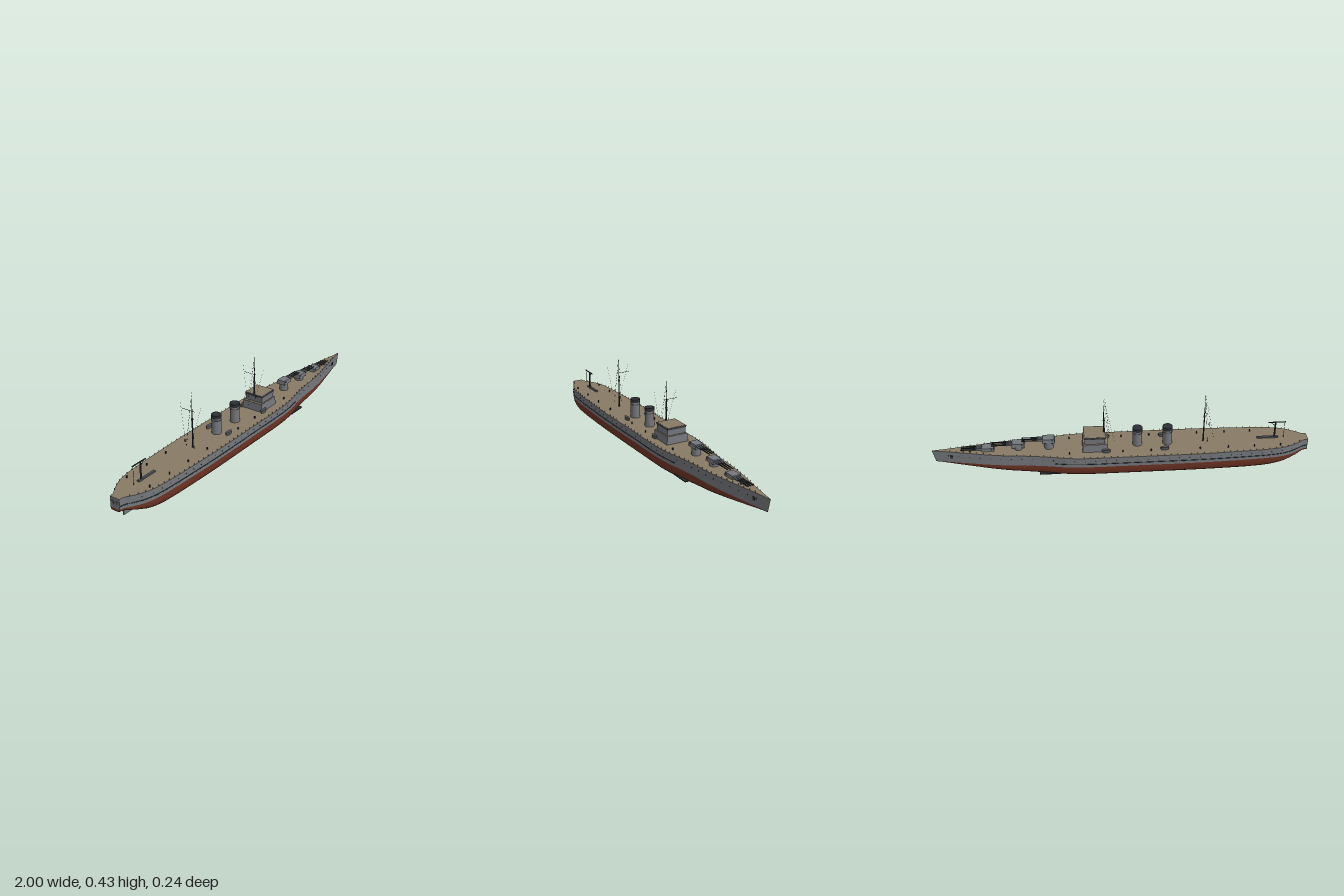
import * as THREE from 'three';
import { mergeGeometries } from 'three/addons/utils/BufferGeometryUtils.js';

const mat = (name, color) => Object.assign(new THREE.MeshStandardMaterial({ color }), { name });
const grey = mat('hull grey', 0x74777c);
const red = mat('antifouling red', 0x733626);
const tan = mat('deck tan', 0x887b66);
const dark = mat('dark metal', 0x2c2f33);
const steel = mat('mid steel', 0x55595e);

// Hull stations: x, half beam, keel height
const stations = [
  [-1, .028, .06], [-.975, .032, .057], [-.95, .048, .05], [-.9, .075, .035], [-.85, .092, .02],
  [-.78, .102, .009], [-.68, .108, .004], [-.55, .113, .003], [-.4, .117, .003], [0, .117, .003],
  [.2, .116, .004], [.3, .108, .007], [.4, .09, .011], [.5, .077, .018], [.6, .069, .027],
  [.7, .055, .038], [.8, .036, .05], [.9, .017, .062], [1, .001, .072],
];
const samples = new THREE.CatmullRomCurve3(stations.map(s => new THREE.Vector3(...s))).getPoints(108);
const WATER = .073;
const deckY = x => .13 + .01 * Math.max(0, (x - .2) / .8);
function beam(x) {
  const i = Math.max(1, samples.findIndex(p => p.x >= x));
  const a = samples[i - 1], b = samples[i];
  return THREE.MathUtils.lerp(a.y, b.y, (x - a.x) / (b.x - a.x));
}

// Skin a list of cross-sections, each a list of [x, y, z]
function loft(rows) {
  const n = rows[0].length, index = [];
  for (let i = 0; i < rows.length - 1; i++) for (let j = 0; j < n - 1; j++) {
    const a = i * n + j, b = a + n;
    index.push(a, a + 1, b, a + 1, b + 1, b);
  }
  const g = new THREE.BufferGeometry();
  g.setAttribute('position', new THREE.Float32BufferAttribute(rows.flat(2), 3));
  g.setIndex(index);
  g.computeVertexNormals();
  return g;
}

function add(parent, name, geometry, material, x = 0, y = 0, z = 0) {
  const m = new THREE.Mesh(geometry, material);
  m.name = name;
  m.position.set(x, y, z);
  parent.add(m);
  return m;
}
const box = (w, h, d, x = 0, y = 0, z = 0) => new THREE.BoxGeometry(w, h, d).translate(x, y, z);
const cyl = (r1, r2, h, x = 0, y = 0, z = 0, n = 20) => new THREE.CylinderGeometry(r1, r2, h, n).translate(x, y, z);
function rod(a, b, r, n = 5) {
  return new THREE.TubeGeometry(new THREE.LineCurve3(new THREE.Vector3(...a), new THREE.Vector3(...b)), 1, r, n);
}
// Block whose top is scaled in x and z
function taperBox(w, h, d, sx, sz) {
  const g = new THREE.BoxGeometry(w, h, d), p = g.attributes.position;
  for (let i = 0; i < p.count; i++) if (p.getY(i) > 0) p.setXYZ(i, p.getX(i) * sx, p.getY(i), p.getZ(i) * sz);
  g.computeVertexNormals();
  return g;
}

function buildHull(ship) {
  const rake = x => x - .015 * THREE.MathUtils.smoothstep(x, .85, 1);
  const half = [[1, 1], [.985, .75], [.95, .48], [.89, .25], [.78, .09], [.58, .01], [.3, 0]];
  const profile = [...half, [0, 0], ...half.map(([z, y]) => [-z, y]).reverse()];
  add(ship, 'lower hull', loft(samples.map(p =>
    profile.map(([z, f]) => [rake(p.x), p.z + (WATER - p.z) * f, p.y * z]))), red);
  for (const s of [1, -1]) {
    add(ship, s > 0 ? 'front topside' : 'back topside', loft(samples.map(p => {
      const r = [[p.x, deckY(p.x), s * p.y], [rake(p.x), WATER, s * p.y]];
      return s > 0 ? r : r.reverse();
    })), grey);
  }
  add(ship, 'deck', loft(samples.map(p => [[p.x, deckY(p.x), -p.y], [p.x, deckY(p.x), p.y]])), tan);
  // Flat stern
  add(ship, 'transom', new THREE.PlaneGeometry(.056, .13 - WATER).rotateY(-Math.PI / 2), grey, -1, (.13 + WATER) / 2);
  const low = new THREE.Shape(profile.map(([z, f]) => new THREE.Vector2(z * .028, .06 + (WATER - .06) * f)));
  add(ship, 'lower transom', new THREE.ShapeGeometry(low).rotateY(-Math.PI / 2), red, -1);
  add(ship, 'transom hatches', mergeGeometries([-1, 1].map(s => box(.003, .018, .014, -1, .105, s * .013))), steel);
  add(ship, 'rudder', box(.07, .032, .008), grey, -.915, .028);

  const strakes = [], ports = [], posts = [], fins = [], anchors = [];
  for (const s of [1, -1]) {
    // Rubbing strake follows the side
    const path = [];
    for (let x = -.995; x < .38; x += .03) path.push(new THREE.Vector3(x, .092, s * beam(x)));
    strakes.push(new THREE.TubeGeometry(new THREE.CatmullRomCurve3(path), 90, .002, 5));
    for (let x = -.9; x < .95; x += .055) {
      const y = x > .4 ? .112 : .11;
      ports.push(new THREE.CylinderGeometry(.0025, .0025, .003, 8).rotateX(Math.PI / 2).translate(x, y, s * beam(x)));
    }
    // Rail stanchions
    for (let x = -.95; x < .93; x += .035)
      posts.push(box(.0018, .008, .0018, x, deckY(x) + .004, s * (beam(x) - .002)));
    fins.push(box(.11, .005, .022, .385, .024, s * .083));
    anchors.push(box(.014, .016, .006, .9, .108, s * beam(.9)));
  }
  add(ship, 'side strakes', mergeGeometries(strakes), dark);
  add(ship, 'portholes', mergeGeometries(ports), dark);
  add(ship, 'rail stanchions', mergeGeometries(posts), steel);
  add(ship, 'bow fins', mergeGeometries(fins), dark);
  add(ship, 'anchors', mergeGeometries(anchors), dark);
}

function buildTurret(ship, x, base, top) {
  const t = new THREE.Group();
  t.name = 'gun turret';
  t.position.x = x;
  ship.add(t);
  if (top - .023 > base) add(t, 'barbette', cyl(.024, .024, top - .02 - base, 0, (top - .02 + base) / 2), grey);
  add(t, 'gun house', taperBox(.068, .022, .052, .9, .9), grey, 0, top - .011);
  add(t, 'range finder', box(.008, .005, .056), steel, -.02, top - .007);
  for (const z of [-.014, 0, .014]) {
    add(t, 'gun sleeve', cyl(.0055, .006, .035, 0, 0, 0, 10).rotateZ(-Math.PI / 2), steel, .045, top - .009, z);
    add(t, 'gun barrel', cyl(.003, .004, .1, 0, 0, 0, 10).rotateZ(-Math.PI / 2), dark, .09, top - .009, z);
  }
}

function buildBridge(ship) {
  const b = new THREE.Group();
  b.name = 'bridge';
  b.position.x = .143;
  ship.add(b);
  add(b, 'lower house', taperBox(.136, .042, .124, .96, .95), grey, 0, .151);
  add(b, 'lower house roof', box(.128, .003, .116), tan, 0, .1725);
  add(b, 'upper house', taperBox(.106, .04, .104, 1.04, 1.03), grey, .003, .192);
  add(b, 'window band', box(.112, .006, .109), dark, .003, .208);
  add(b, 'roof rim', box(.115, .004, .112), steel, .003, .2125);
  add(b, 'roof', box(.107, .002, .104), tan, .003, .2145);
}

function buildMast(ship, x, foot) {
  const m = new THREE.Group();
  m.name = 'mast';
  m.position.x = x;
  ship.add(m);
  add(m, 'lower pole', cyl(.0025, .004, .34 - foot, 0, (.34 + foot) / 2, 0, 8), dark);
  add(m, 'topmast', cyl(.0007, .0018, .09, 0, .385, 0, 6), dark);
  add(m, 'lookout', cyl(.006, .005, .008, 0, .285, 0, 10), steel);
  add(m, 'yard', rod([0, .33, -.065], [0, .33, .015], .0011), dark);
  const stays = [];
  for (const s of [-1, 1]) {
    stays.push(rod([0, .42, 0], [-.02, foot, s * .025], .0004, 3));
    stays.push(rod([-.01, .375, s * .065], [-.03, .2, s * .025], .0004, 3));
  }
  stays.push(rod([0, .42, 0], [-.055, .15, 0], .0004, 3));
  add(m, 'stays', mergeGeometries(stays), dark);
}

export function createModel() {
  const ship = new THREE.Group();
  ship.name = 'warship';
  buildHull(ship);
  buildBridge(ship);
  [[.388, .13, .195], [.548, .133, .174], [.708, .135, .154]].forEach(t => buildTurret(ship, ...t));

  // Funnels with black caps
  for (const x of [-.242, -.082]) {
    add(ship, 'funnel', cyl(.025, .026, .09, x, .173), grey);
    add(ship, 'funnel cap', cyl(.0265, .0265, .018, x, .226), dark);
    add(ship, 'funnel band', cyl(.027, .027, .004, x, .205), steel);
  }
  buildMast(ship, -.435, .13);
  buildMast(ship, .095, .2);

  // Small deck tubs abreast the bridge and aft funnel
  for (const [x, z] of [[.087, .066], [-.222, .062]]) for (const s of [-1, 1]) {
    const tub = add(ship, 'deck tub', cyl(1, .9, 1, 0, 0, 0, 16), steel, x, .138, s * z);
    tub.scale.set(.023, .016, .009);
  }
  // Bollards and vents
  const bits = [];
  for (const x of [-.84, -.7, -.56, -.41, -.15, 0, .28]) for (const s of [-1, 1])
    bits.push(cyl(.003, .0035, .013, x, .136, s * .07, 8));
  add(ship, 'bollards', mergeGeometries(bits), dark);
  // Capstans on the foredeck
  add(ship, 'capstans', mergeGeometries([-1, 1].map(s => cyl(.005, .005, .008, .8, .141, s * .018, 10))), steel);

  // Stern catapult and crane
  add(ship, 'catapult', box(.115, .008, .012), steel, -.783, .137);
  add(ship, 'crane post', cyl(.004, .005, .1, -.82, .18, 0, 10), dark);
  add(ship, 'crane jib', box(.092, .004, .005), dark, -.828, .23);
  add(ship, 'crane cable', cyl(.001, .001, .1, -.87, .18, 0, 6), dark);
  add(ship, 'crane brace', rod([-.82, .205, 0], [-.795, .23, 0], .0018), dark);
  return ship;
}
